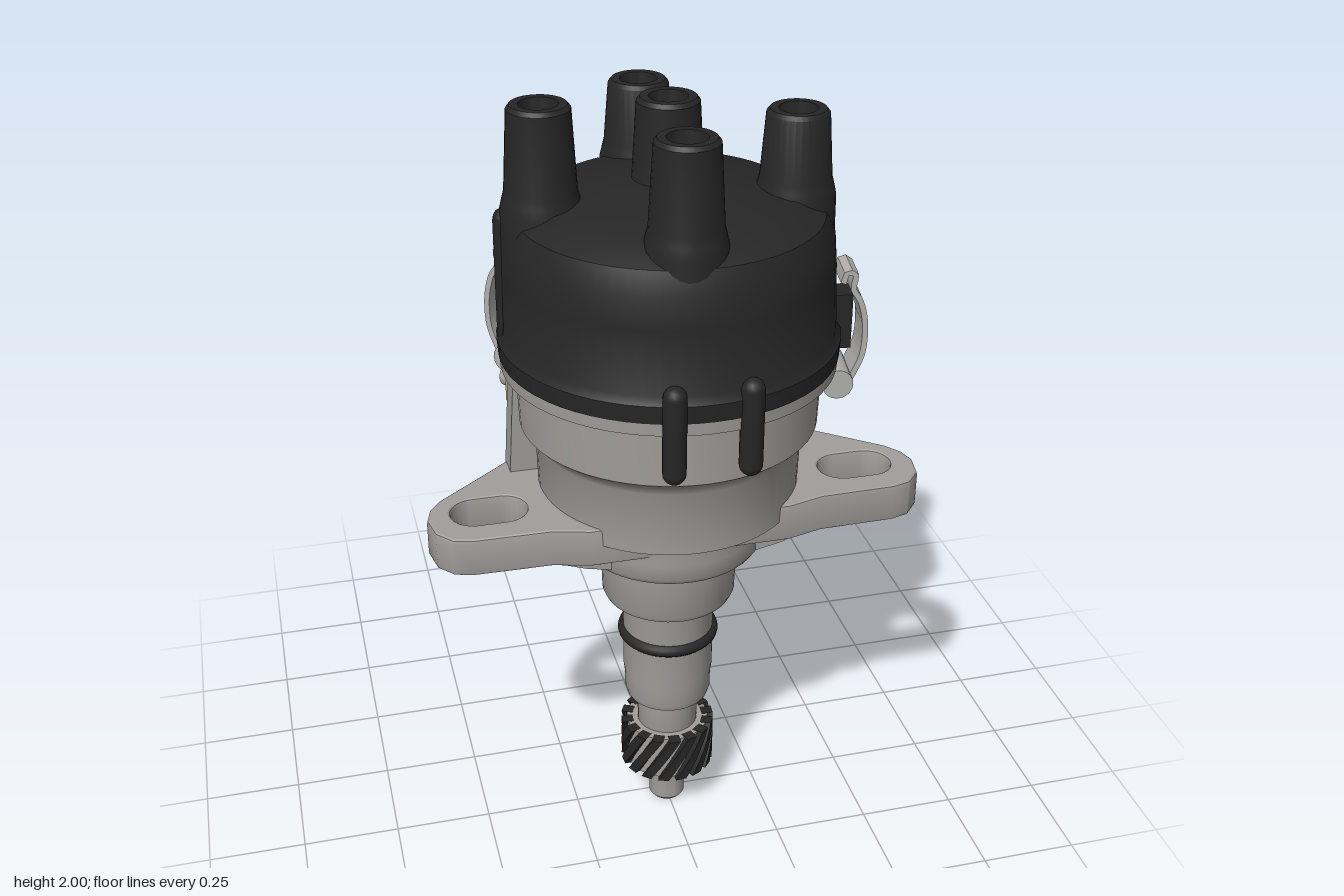
import * as THREE from 'three';
import { toCreasedNormals } from 'three/addons/utils/BufferGeometryUtils.js';

const mat = (name, color) => {
  const m = new THREE.MeshStandardMaterial({ color });
  m.name = name;
  return m;
};
const V = (x, y, z) => new THREE.Vector3(x, y, z);
const crease = (g) => toCreasedNormals(g, 0.6);
const CAP_Z = 0.252, SHAFT_Z = 0.268, VAC_Y = 1.275;

// Turned part, profile given as [radius, height] from bottom to top
const turned = (pts, seg = 48) =>
  crease(new THREE.LatheGeometry(pts.map((p) => new THREE.Vector2(p[0], p[1])), seg));

// Bent strip of sheet metal: path, width direction, width and thickness
function ribbon(points, widthDir, width, thick, steps = 28) {
  const curve = new THREE.CatmullRomCurve3(points);
  const pos = [], idx = [];
  for (let i = 0; i <= steps; i++) {
    const p = curve.getPointAt(i / steps), t = curve.getTangentAt(i / steps);
    const n = t.clone().cross(widthDir).normalize();
    const w = n.clone().cross(t).normalize();
    for (const [a, b] of [[1, 1], [-1, 1], [-1, -1], [1, -1]]) {
      const q = p.clone().addScaledVector(w, a * width / 2).addScaledVector(n, b * thick / 2);
      pos.push(q.x, q.y, q.z);
    }
  }
  for (let i = 0; i < steps; i++) {
    for (let k = 0; k < 4; k++) {
      const a = i * 4 + k, b = i * 4 + (k + 1) % 4, c = b + 4, d = a + 4;
      idx.push(a, b, c, a, c, d);
    }
  }
  const e = steps * 4;
  idx.push(0, 2, 1, 0, 3, 2, e, e + 1, e + 2, e, e + 2, e + 3);
  const g = new THREE.BufferGeometry();
  g.setAttribute('position', new THREE.Float32BufferAttribute(pos, 3));
  g.setIndex(idx);
  return crease(g);
}

export function createModel() {
  const root = new THREE.Group();
  const black = mat('black plastic', 0x262626);
  const grey = mat('cast aluminium', 0xa19e9b);
  const steel = mat('light steel', 0xb0afac);
  const cream = mat('cream plating', 0xcfc7a6);
  const olive = mat('yellow zinc', 0xb5ab78);
  const brass = mat('brass contact', 0xc99a4a);

  const add = (name, geo, material, x = 0, y = 0, z = 0, parent = root) => {
    const m = new THREE.Mesh(geo, material);
    m.name = name;
    m.position.set(x, y, z);
    parent.add(m);
    return m;
  };

  // Cap with shoulder and base rim
  add('cap', turned([[0.38, 1.375], [0.412, 1.38], [0.415, 1.425], [0.402, 1.445], [0.395, 1.6], [0.388, 1.68],
    [0.365, 1.73], [0.3, 1.765], [0.2, 1.78], [0.13, 1.80], [0, 1.81]], 64), black, 0, 0, CAP_Z);

  // Lead towers: x, z, top height
  for (const [x, z, top] of [[0, 0.235, 1.995], [0, -0.052, 1.95], [-0.3, 0.235, 2], [0.295, 0.285, 1.96], [-0.035, 0.53, 2]]) {
    add('leadTower', turned([[0.1, 1.46], [0.096, 1.755], [0.09, 1.78], [0.085, 1.8], [0.074, top - 0.01], [0.066, top],
      [0.046, top], [0.04, top - 0.07], [0.038, top - 0.1]], 32), black, x, 0, z);
    add('towerContact', new THREE.CylinderGeometry(0.04, 0.04, 0.008, 24), brass, x, top - 0.09, z);
  }

  // Locating studs at the front and ribs on the cap wall
  for (const x of [-0.09, 0.09]) {
    add('locatingStud', new THREE.CapsuleGeometry(0.028, 0.19, 6, 16), black, x, 1.35, 0.652);
  }
  for (const a of [-0.42, Math.PI + 0.1]) {
    add('capRib', new THREE.CapsuleGeometry(0.028, 0.29, 4, 12), black,
      0.385 * Math.cos(a), 1.58, CAP_Z + 0.385 * Math.sin(a));
  }

  // Housing bowl
  add('housing', turned([[0, 0.98], [0.325, 0.98], [0.33, 1.15], [0.345, 1.175], [0.368, 1.195], [0.373, 1.33],
    [0.408, 1.348], [0.41, 1.38], [0, 1.381]], 64), grey, 0, 0, CAP_Z);

  // Lower neck, spindle sleeve and drive shaft
  add('neck', turned([[0, 0.36], [0.108, 0.36], [0.114, 0.38], [0.114, 0.42], [0.118, 0.45], [0.118, 0.65], [0.125, 0.68],
    [0.165, 0.685], [0.172, 0.7], [0.176, 0.84], [0.23, 0.845], [0.24, 0.86], [0.24, 0.9], [0.25, 1.0], [0, 1.01]]),
    grey, 0, 0, SHAFT_Z);
  add('driveShaft', turned([[0, 0], [0.04, 0], [0.048, 0.01], [0.048, 0.15], [0.08, 0.26], [0.08, 0.37]], 32), grey, 0, 0, SHAFT_Z);
  add('sealRing', new THREE.TorusGeometry(0.115, 0.017, 12, 48).rotateX(Math.PI / 2), black, 0, 0.56, SHAFT_Z);

  // Helical gear
  add('gearCore', new THREE.CylinderGeometry(0.11, 0.11, 0.128, 32), grey, 0, 0.2, SHAFT_Z);
  const tooth = new THREE.BoxGeometry(0.034, 0.13, 0.03, 1, 6, 1);
  const tp = tooth.attributes.position;
  for (let i = 0; i < tp.count; i++) {
    const r = 0.11 + tp.getZ(i);
    const a = tp.getX(i) * (tp.getZ(i) > 0 ? 0.75 : 1) / 0.11 + tp.getY(i) * 5;
    tp.setXYZ(i, r * Math.sin(a), tp.getY(i), r * Math.cos(a));
  }
  const toothGeo = crease(tooth);
  for (let i = 0; i < 16; i++) {
    add('gearTooth', toothGeo, black, 0, 0.2, SHAFT_Z).rotation.y = i * Math.PI / 8;
  }

  // Mounting flange with a slotted ear on each side; shape y is model -z
  const half = [[0.27, -0.03], [0.37, -0.09], [0.58, -0.26], [0.61, -0.3], [0.622, -0.345], [0.61, -0.41],
    [0.575, -0.45], [0.53, -0.463], [0.34, -0.466], [0.25, -0.49]];
  const outline = [...half, ...half.slice().reverse().map(([x, y]) => [-x, y])];
  const flange = new THREE.Shape(outline.map(([x, y]) => new THREE.Vector2(x, y)).reverse());
  for (const s of [1, -1]) {
    const slot = new THREE.Path();
    const r = 0.06, cy = -0.333, x0 = Math.min(s * 0.435, s * 0.503), x1 = Math.max(s * 0.435, s * 0.503);
    slot.absarc(x1, cy, r, -Math.PI / 2, Math.PI / 2, false);
    slot.absarc(x0, cy, r, Math.PI / 2, Math.PI * 1.5, false);
    slot.closePath();
    flange.holes.push(slot);
  }
  const flangeGeo = new THREE.ExtrudeGeometry(flange, {
    depth: 0.08, bevelEnabled: true, bevelSize: 0.006, bevelOffset: -0.006, bevelThickness: 0.01, bevelSegments: 2, curveSegments: 16,
  }).rotateX(-Math.PI / 2);
  add('mountingFlange', crease(flangeGeo), grey, 0, 0.935, 0);

  // Sloping webs under the ears and upright buttresses above them
  for (const s of [1, -1]) {
    const web = new THREE.Shape([[0.18, 0.86], [0.25, 0.875], [0.32, 0.9], [0.4, 0.93], [0.18, 0.93]].map(([x, y]) => new THREE.Vector2(x, y)));
    const webGeo = new THREE.ExtrudeGeometry(web, { depth: 0.26, bevelEnabled: false }).translate(0, 0, -0.13);
    const butt = new THREE.Shape([[0.2, 1.0], [0.388, 1.0], [0.367, 1.35], [0.2, 1.35]].map(([x, y]) => new THREE.Vector2(x, y)));
    const buttGeo = new THREE.ExtrudeGeometry(butt, { depth: 0.07, bevelEnabled: false }).translate(0, 0, -0.035);
    const turn = s > 0 ? 0 : Math.PI;
    add('flangeWeb', webGeo, grey, 0, 0, 0.29).rotation.y = turn;
    add('buttress', buttGeo, grey, 0, 0, 0.13).rotation.y = turn;
  }

  // Spring clips holding the cap
  const clipPath = [[0.412, 1.545], [0.42, 1.572], [0.44, 1.568], [0.437, 1.53], [0.455, 1.5], [0.47, 1.44],
    [0.468, 1.36], [0.45, 1.31], [0.43, 1.27]].map(([x, y]) => V(x, y, 0));
  const clipGeo = ribbon(clipPath, V(0, 0, 1), 0.095, 0.014);
  for (const [x, z] of [[0.41, 0.07], [-0.33, -0.255]]) {
    const clip = new THREE.Group();
    clip.name = 'springClip';
    clip.position.z = CAP_Z;
    clip.rotation.y = -Math.atan2(z, x);
    root.add(clip);
    add('clipStrip', clipGeo, steel, 0, 0, 0, clip);
    add('clipPivot', new THREE.CylinderGeometry(0.038, 0.038, 0.14, 20).rotateX(Math.PI / 2), steel, 0.408, 1.288, 0, clip);
    add('clipLug', new THREE.BoxGeometry(0.07, 0.14, 0.07), black, 0.405, 1.44, 0, clip);
  }

  // Vacuum canister, turned about the z axis
  const axial = (pts, seg = 48) => turned(pts, seg).rotateX(-Math.PI / 2);
  add('canisterNeck', axial([[0, 0.19], [0.085, 0.2], [0.085, 0.29], [0.1, 0.325], [0.125, 0.345], [0.2, 0.352]]), olive, 0, VAC_Y, 0);
  add('canisterRim', axial([[0, 0.35], [0.25, 0.35], [0.264, 0.358], [0.264, 0.38], [0.25, 0.388], [0, 0.388]]), olive, 0, VAC_Y, 0);
  add('canisterDome', axial([[0.215, 0.385], [0.212, 0.42], [0.2, 0.44], [0.15, 0.495], [0.13, 0.507], [0.06, 0.51],
    [0.045, 0.525], [0.032, 0.545], [0.03, 0.673], [0.025, 0.678], [0, 0.678]]), cream, 0, VAC_Y + 0.01, 0);

  // Canister mounting pad, plate and bolts
  add('mountingPad', new THREE.BoxGeometry(0.12, 0.26, 0.16), grey, 0, 1.26, -0.12);
  add('mountingPlate', new THREE.BoxGeometry(0.28, 0.27, 0.022), olive, 0, 1.255, -0.208);
  for (const x of [-0.1, 0.1]) {
    for (const y of [1.125, 1.385]) {
      add('plateBolt', new THREE.CylinderGeometry(0.035, 0.038, 0.065, 20).rotateX(Math.PI / 2), steel, x, y, -0.225);
    }
  }

  // Side lugs with bolts, and the straps bracing the canister
  for (const s of [1, -1]) {
    const lug = new THREE.Group();
    lug.name = 'sideLug';
    lug.position.set(0, 1.15, CAP_Z);
    lug.rotation.y = Math.atan2(0.76, s * 0.65);
    root.add(lug);
    const rod = (name, r0, r1, a, b, m, seg = 24) =>
      add(name, new THREE.CylinderGeometry(r1, r0, b - a, seg).rotateZ(-Math.PI / 2), m, (a + b) / 2, 0, 0, lug);
    rod('lugBoss', 0.1, 0.07, 0.25, 0.445, grey);
    rod('lugWasher', 0.055, 0.055, 0.455, 0.478, olive);
    rod('lugBolt', 0.038, 0.034, 0.47, 0.515, steel);
    const path = [[0.07, 1.27, -0.275], [0.14, 1.25, -0.27], [0.2, 1.21, -0.23], [0.235, 1.17, -0.175], [0.265, 1.15, -0.125],
      [0.305, 1.145, -0.09], [0.35, 1.145, -0.055]].map(([x, y, z]) => V(s * x, y, z));
    add('braceStrap', ribbon(path, V(0, 1, 0), 0.07, 0.014), olive);
  }

  return root;
}
